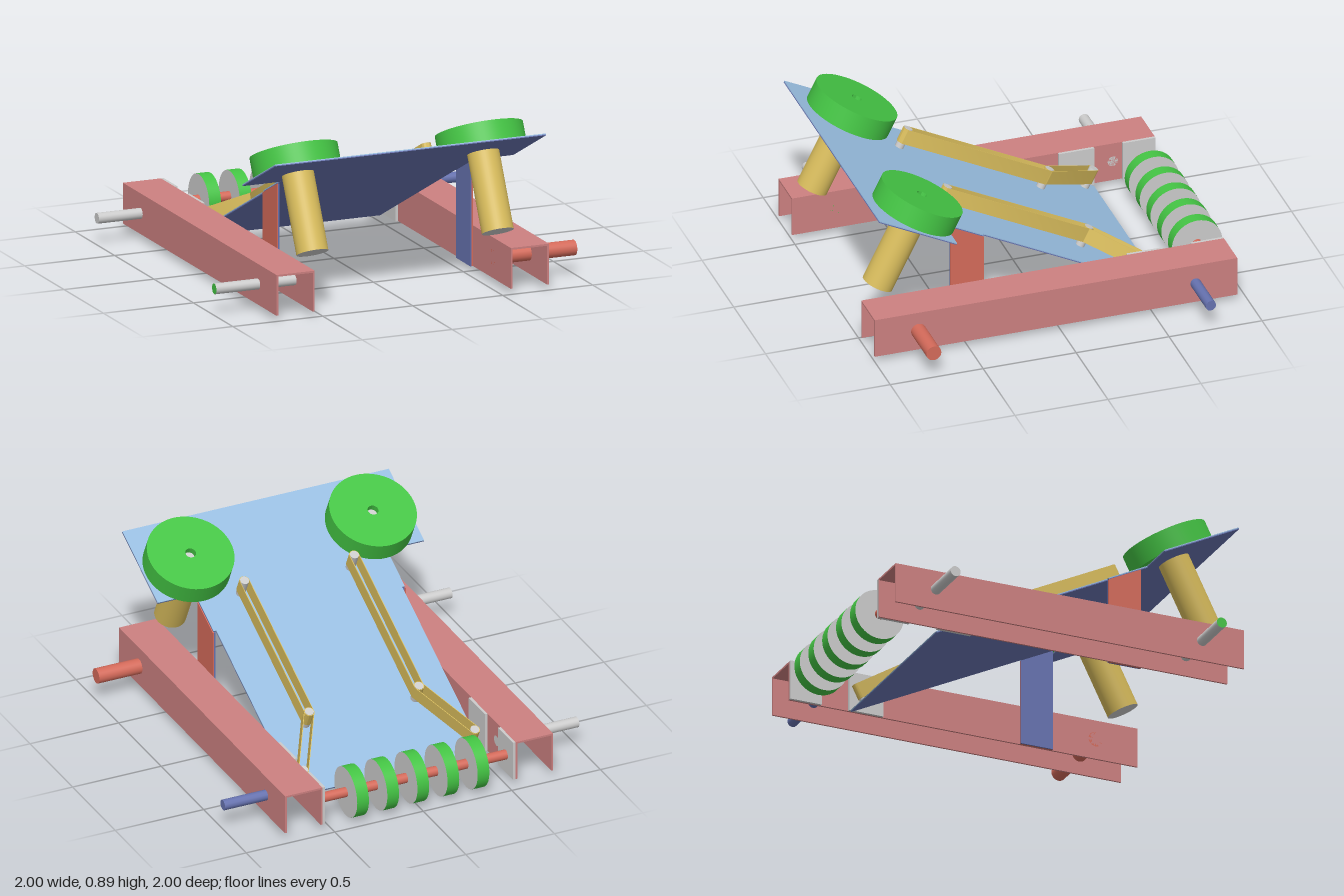
import * as THREE from 'three';
import { toCreasedNormals } from 'three/addons/utils/BufferGeometryUtils.js';

const paint = (color) => new THREE.MeshStandardMaterial({ color });
const GREY = paint(0xcccccc), RED = paint(0xcc8080), ORANGE = paint(0xd46a5a), INDIGO = paint(0x6672b0);
const BLUE = paint(0x98bde0), GREEN = paint(0x44c444), GOLD = paint(0xd8bc5c);

function add(parent, name, geometry, material, x = 0, y = 0, z = 0) {
  const mesh = new THREE.Mesh(geometry, material);
  mesh.name = name;
  mesh.position.set(x, y, z);
  parent.add(mesh);
  return mesh;
}

function polygon(points) {
  return new THREE.Shape(points.map(([x, y]) => new THREE.Vector2(x, y)));
}

function extrude(shape, depth) {
  return new THREE.ExtrudeGeometry(shape, { depth, bevelEnabled: false, curveSegments: 16 });
}

// Cylinder lying along x between two ends
function rod(parent, name, x0, x1, y, z, r, material, sides = 24) {
  const g = new THREE.CylinderGeometry(r, r, Math.abs(x1 - x0), sides).rotateZ(Math.PI / 2);
  return add(parent, name, g, material, (x0 + x1) / 2, y, z);
}

// Rounded slot outline running along +x from the origin
function slot(path, length, r) {
  path.absarc(0, 0, r, Math.PI / 2, Math.PI * 1.5);
  path.absarc(length, 0, r, -Math.PI / 2, Math.PI / 2);
  path.closePath();
  return path;
}

// Thin belt wrapped around two posts, points given as [x, z]
function belt(parent, name, a, b, y0, height) {
  const dx = b[0] - a[0], dz = b[1] - a[1], length = Math.hypot(dx, dz);
  const shape = slot(new THREE.Shape(), length, 0.027);
  shape.holes.push(slot(new THREE.Path(), length, 0.0235));
  const g = extrude(shape, height).rotateX(-Math.PI / 2).rotateY(Math.atan2(-dz, dx));
  add(parent, name, toCreasedNormals(g, 0.6), GOLD, a[0], y0, a[1]);
}

export function createModel() {
  const model = new THREE.Group();
  model.name = 'rollerLauncher';

  // Side channels, open below
  const inner = 0.545, outer = 0.757, low = 0.03, high = 0.245, t = 0.01;
  const mid = (inner + outer) / 2, half = (outer - inner) / 2;
  const channel = extrude(polygon([
    [-half, low], [-half + t, low], [-half + t, high - t], [half - t, high - t],
    [half - t, low], [half, low], [half, high], [-half, high],
  ]), 1.95);

  // Tilted deck frame: local y is the deck normal, local z runs up the slope
  const deck = new THREE.Group();
  deck.name = 'deck';
  deck.position.y = 0.335;
  deck.rotation.x = -Math.atan(0.5);
  model.add(deck);

  const halfOutline = [[0.525, -0.69], [0.525, 0.38], [0.54, 0.38], [0.54, 0.621], [0.752, 0.621], [0.752, 1.085]];
  const outline = polygon([...halfOutline, ...halfOutline.map(([x, z]) => [-x, z]).reverse()]);
  const layer = extrude(outline, 0.005).rotateX(Math.PI / 2);
  add(deck, 'deckTop', layer, BLUE);
  add(deck, 'deckUnderside', layer, INDIGO, 0, -0.005, 0);

  const upright = extrude(polygon([[0.34, low], [0.52, low], [0.52, 0.584], [0.34, 0.494]]), 0.0075)
    .rotateY(-Math.PI / 2).translate(0.00375, 0, 0);
  const disc = toCreasedNormals(new THREE.LatheGeometry(
    [[0.028, 0], [0.228, 0], [0.228, 0.112], [0.028, 0.112], [0.028, 0]].map((p) => new THREE.Vector2(...p)), 64), 0.6);

  for (const s of [-1, 1]) {
    const side = s > 0 ? 'left' : 'right';
    add(model, side + 'Rail', channel, RED, s * mid, 0, -0.95);

    // Bearing plate, deck foot plate and deck upright on the inner face of the rail
    const plate = (length) => new THREE.BoxGeometry(0.015, high - low, length);
    add(model, side + 'AxlePlate', plate(0.175), GREY, s * 0.5375, (low + high) / 2, -0.8625);
    add(model, side + 'FootPlate', plate(0.19), GREY, s * 0.5375, (low + high) / 2, -0.525);
    add(model, side + 'UprightOuter', upright, ORANGE, s * 0.54125, 0, 0);
    add(model, side + 'UprightInner', upright, INDIGO, s * 0.53375, 0, 0);

    // Launcher wheel with its motor hanging under the deck
    const wz = 0.797;
    add(deck, side + 'Motor', new THREE.CylinderGeometry(0.083, 0.083, 0.415, 40),
      [GOLD, GREY, GREY], s * 0.515, -0.2175, wz);
    add(deck, side + 'LauncherWheel', disc, GREEN, s * 0.515, 0.001, wz);
    add(deck, side + 'WheelShaft', new THREE.CylinderGeometry(0.027, 0.027, 0.08, 24), GREY, s * 0.515, 0.04, wz);

    // Guide posts and belts
    const posts = [[s * 0.31, 0.564], [s * 0.31, -0.286], [s * 0.483, -0.616]];
    for (const [x, z] of posts) {
      add(deck, side + 'GuidePost', new THREE.CylinderGeometry(0.0235, 0.0235, 0.112, 20), GREY, x, 0.056, z);
    }
    belt(deck, side + 'LongBelt', posts[0], posts[1], 0.03, 0.08);
    belt(deck, side + 'EntryBelt', posts[1], posts[2], 0.03, 0.08);
  }

  // Drive shafts through the rails
  rod(model, 'leftFrontShaft', 0.545, 1, 0.14, 0.765, 0.04, ORANGE);
  rod(model, 'leftRearShaft', 0.545, 1, 0.14, -0.725, 0.028, INDIGO, 12);
  rod(model, 'rightFrontShaft', -1, -0.545, 0.14, 0.765, 0.028, [GREY, GREEN, GREEN]);
  rod(model, 'rightRearShaft', -1, -0.545, 0.14, -0.725, 0.028, GREY);

  // Intake roller
  rod(model, 'rollerAxle', -0.53, 0.53, 0.135, -0.865, 0.026, ORANGE);
  for (let i = -2; i <= 2; i++) {
    rod(model, 'rollerWheel', i * 0.17 - 0.033, i * 0.17 + 0.033, 0.135, -0.865, 0.135, [GREEN, GREY, GREY], 48);
  }
  return model;
}
